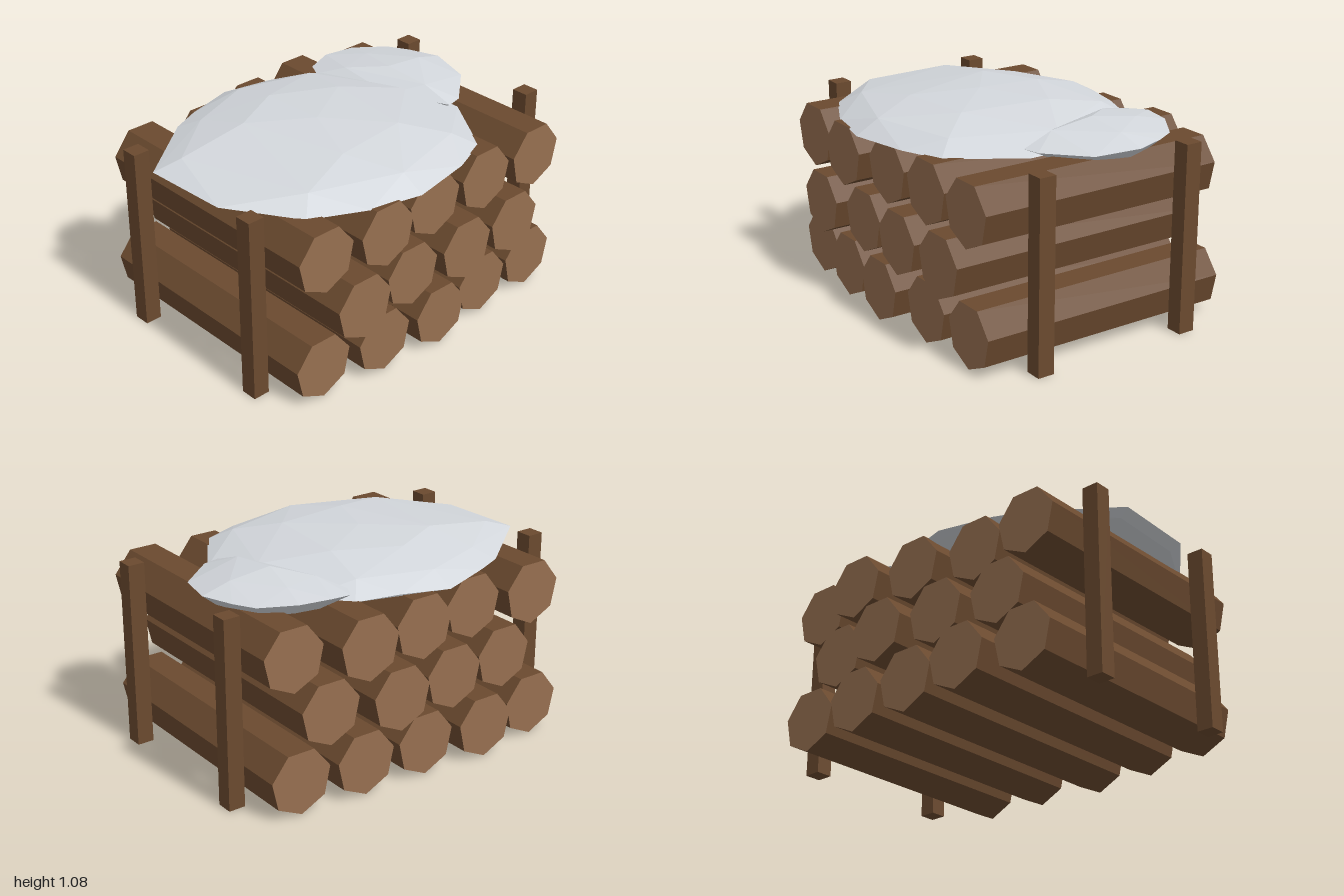
import * as THREE from 'three';
import { ConvexGeometry } from 'three/addons/geometries/ConvexGeometry.js';

const mat = (name, color, flatShading = true) => {
  const m = new THREE.MeshStandardMaterial({ color, flatShading });
  m.name = name;
  return m;
};

// Faceted snow mound: a rim outline of [x, z, y], shrunk toward the peak ring by ring
function snowMound(rim, peak, rings, under) {
  const [px, py, pz] = peak;
  const pts = [new THREE.Vector3(px, py, pz)];
  rim.forEach(([x, z, y], i) => {
    const at = (s, h) => pts.push(new THREE.Vector3(px + (x - px) * s, h, pz + (z - pz) * s));
    at(1, y);
    at(under, 0.937);
    // inner rings use fewer points, so the facets grow toward the top
    rings.forEach(([s, h, step, offset]) => {
      if (i % step === offset) at(s, h + 0.004 * Math.sin(i * 2.3));
    });
  });
  return new ConvexGeometry(pts);
}

export function createModel() {
  const group = new THREE.Group();
  const bark = mat('bark', 0x6b4a2f);
  const cutWood = mat('cutWood', 0x966f50);
  const snow = mat('snow', 0xd3d7dc);
  const add = (name, geometry, material, x = 0, y = 0, z = 0) => {
    const mesh = new THREE.Mesh(geometry, material);
    mesh.name = name;
    mesh.position.set(x, y, z);
    group.add(mesh);
  };

  // Seven-sided logs in three rows, each with its own [back, front] ends
  const rows = [
    { y: 0.176, x0: -0.735, ends: [[-0.73, 0.69], [-0.783, 0.735], [-0.75, 0.765], [-0.74, 0.71], [-0.71, 0.70]] },
    { y: 0.486, x0: -0.552, ends: [[-0.70, 0.785], [-0.74, 0.74], [-0.783, 0.76], [-0.70, 0.75]] },
    { y: 0.796, x0: -0.735, ends: [[-0.70, 0.715], [-0.66, 0.745], [-0.72, 0.70], [-0.766, 0.70], [-0.66, 0.71]] },
  ];
  for (const { y, x0, ends } of rows) {
    ends.forEach(([back, front], i) => {
      const log = new THREE.CylinderGeometry(0.174, 0.174, front - back, 7).rotateX(Math.PI / 2);
      add('log', log, [bark, cutWood, cutWood], x0 + i * 0.3675, y, (back + front) / 2);
    });
  }

  // Four upright corner posts
  for (const x of [-0.955, 0.955])
    for (const z of [-0.435, 0.435])
      add('post', new THREE.BoxGeometry(0.09, 1, 0.09), bark, x, 0.5, z);

  // Large snow mound
  const largeRim = [
    [-1, -0.24, 0.97], [-0.77, -0.41, 0.96], [-0.61, -0.55, 0.96], [-0.45, -0.62, 0.96],
    [-0.17, -0.71, 0.95], [0.09, -0.64, 0.96], [0.31, -0.57, 0.95], [0.5, -0.38, 0.95],
    [0.62, 0, 0.95], [0.62, 0.26, 0.95], [0.39, 0.62, 0.95], [0.17, 0.71, 0.95],
    [-0.17, 0.77, 0.945], [-0.45, 0.71, 0.95], [-0.73, 0.57, 0.95], [-0.98, 0.23, 0.97],
  ];
  add('largeSnowMound', snowMound(largeRim, [-0.17, 1.08, 0.03],
    [[0.83, 1.015, 2, 0], [0.5, 1.066, 3, 1]], 0.93), snow);

  // Small snow mound overlapping its right edge
  const smallRim = [
    [0.29, -0.48, 0.99], [0.33, -0.56, 0.99], [0.46, -0.59, 1.01], [0.63, -0.56, 1.01],
    [0.80, -0.45, 1.0], [0.86, -0.34, 1.0], [0.92, -0.17, 1.0], [0.86, 0.06, 0.985],
    [0.65, 0.24, 0.98], [0.56, 0.26, 0.98], [0.40, -0.04, 0.99],
  ];
  add('smallSnowMound', snowMound(smallRim, [0.53, 1.065, -0.17],
    [[0.6, 1.038, 3, 0]], 0.8), snow);

  return group;
}
